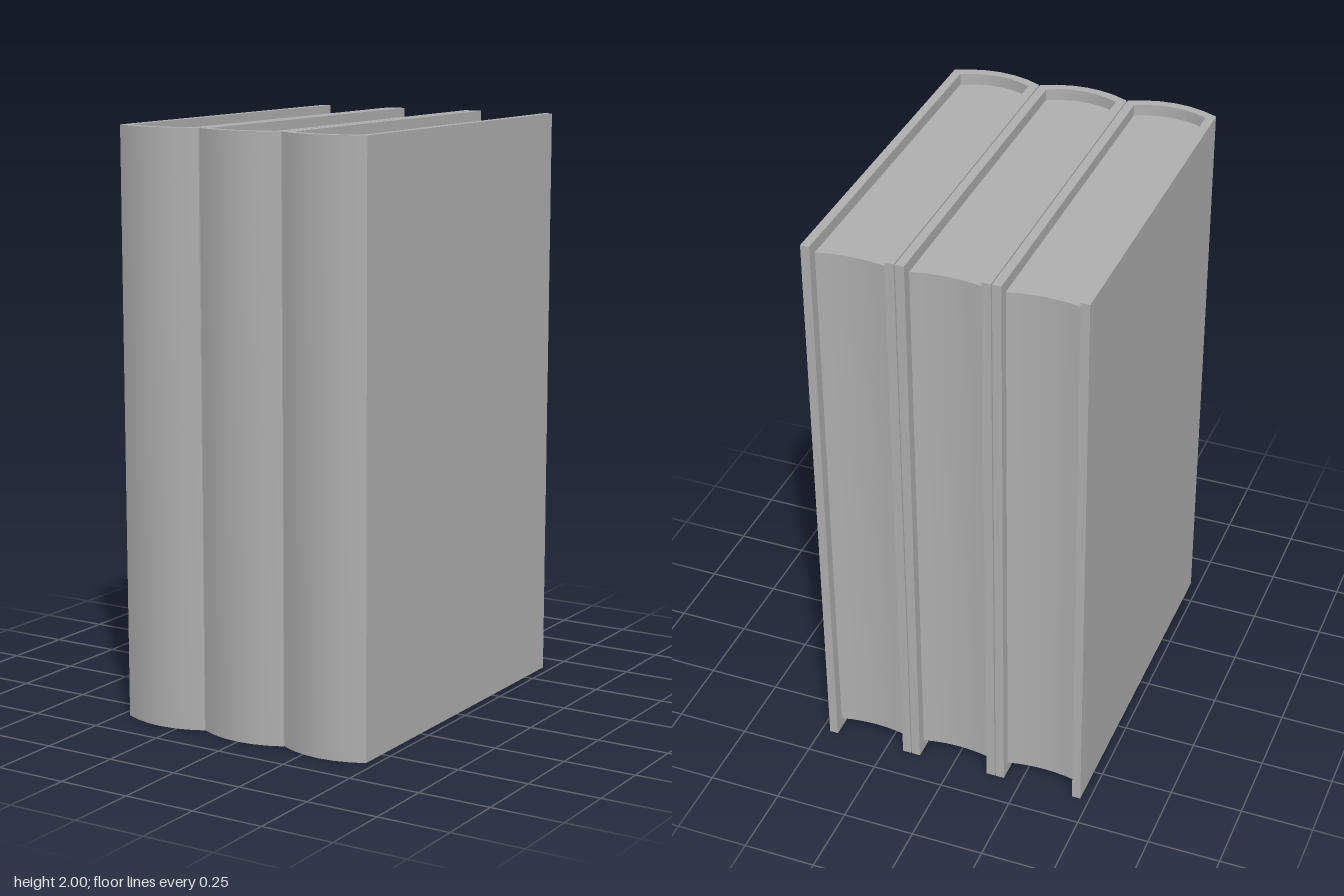
import * as THREE from 'three';
import { toCreasedNormals } from 'three/addons/utils/BufferGeometryUtils.js';

const HEIGHT = 2, HALF = 0.155, BOARD = 0.03, BACK = -0.64, RECESS = 0.04;

// Points of a shallow arc between x0 and x1, bulging in z by "rise"
function arc(x0, x1, z, rise, steps = 6) {
  return Array.from({ length: steps + 1 }, (_, i) => {
    const t = i / steps;
    return [x0 + (x1 - x0) * t, z + rise * 4 * t * (1 - t)];
  });
}

// Extrudes an outline given in x, z upwards from y0 to y1
function upright(points, y0, y1) {
  const shape = new THREE.Shape(points.map(([x, z]) => new THREE.Vector2(x, -z)));
  const geometry = new THREE.ExtrudeGeometry(shape, { depth: y1 - y0, bevelEnabled: false });
  geometry.rotateX(-Math.PI / 2).translate(0, y0, 0);
  return toCreasedNormals(geometry, 0.6);
}

export function createModel() {
  const grey = new THREE.MeshStandardMaterial({ color: 0xb0b0b0 });
  grey.name = 'grey';
  const inner = HALF - BOARD;

  // Two boards joined by a rounded spine
  const coverGeometry = upright([
    [-HALF, BACK],
    ...arc(-HALF, HALF, 0.6, 0.04),
    [HALF, BACK],
    [inner, BACK],
    ...arc(inner, -inner, 0.578, 0.031),
    [-inner, BACK],
  ], 0, HEIGHT);

  // Page block with a rounded spine side and a hollow fore edge
  const pagesGeometry = upright([
    ...arc(-inner, inner, 0.578, 0.031),
    ...arc(inner, -inner, -0.603, 0.015),
  ], RECESS, HEIGHT - RECESS);

  const model = new THREE.Group();
  model.name = 'bookRow';
  ['rightBook', 'middleBook', 'leftBook'].forEach((name, i) => {
    const book = new THREE.Group();
    book.name = name;
    book.position.x = (i - 1) * 0.314;
    const cover = new THREE.Mesh(coverGeometry, grey);
    cover.name = 'cover';
    const pages = new THREE.Mesh(pagesGeometry, grey);
    pages.name = 'pages';
    book.add(cover, pages);
    model.add(book);
  });
  return model;
}
